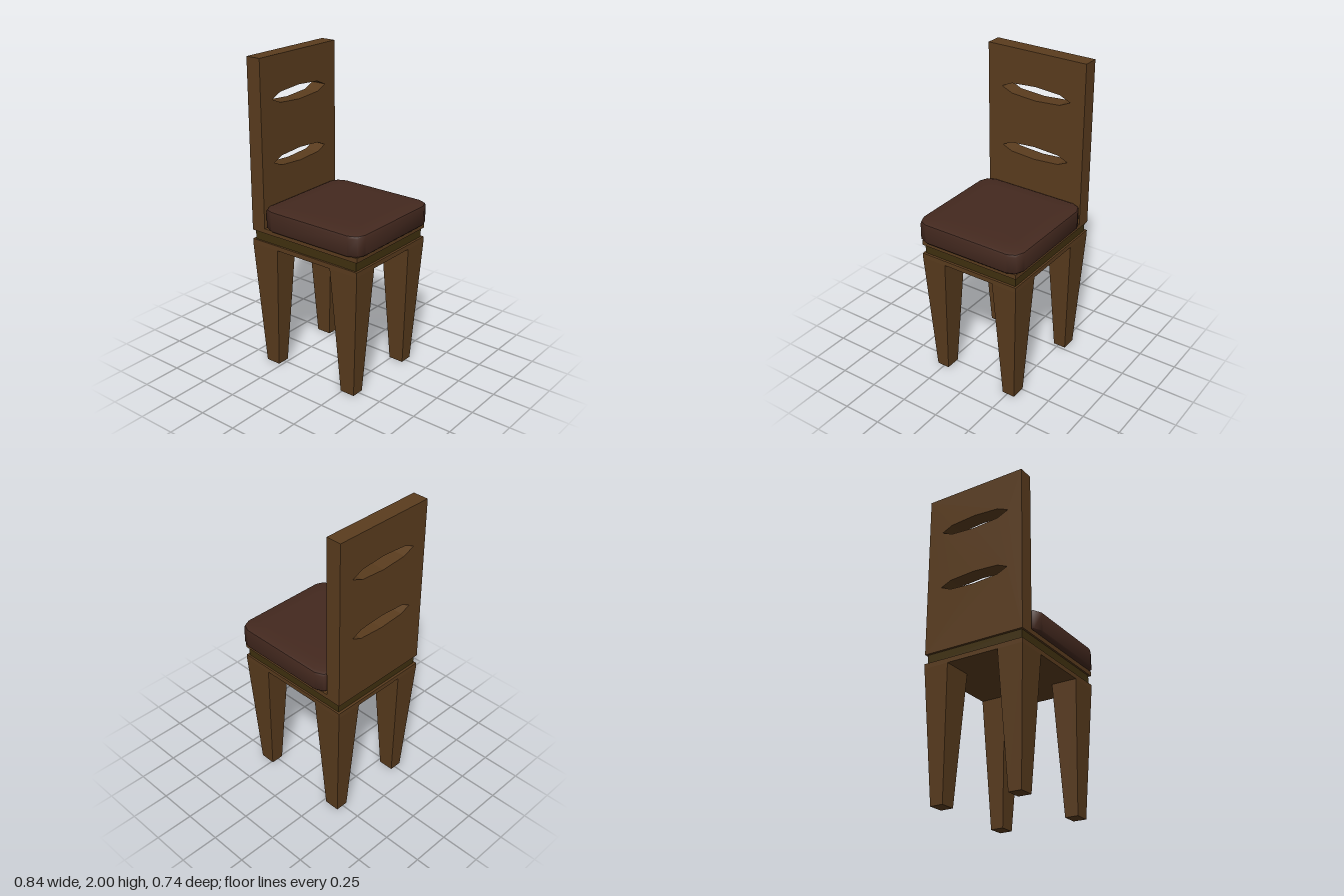
import * as THREE from 'three';
import { toCreasedNormals } from 'three/addons/utils/BufferGeometryUtils.js';

const wood = new THREE.MeshStandardMaterial({ color: 0x5a3c1e, flatShading: true });
const darkWood = new THREE.MeshStandardMaterial({ color: 0x40300f, flatShading: true });
const leather = new THREE.MeshStandardMaterial({ color: 0x44291f });

function add(group, name, geometry, material) {
  const mesh = new THREE.Mesh(geometry, material);
  mesh.name = name;
  group.add(mesh);
  return mesh;
}

// Box given by its x and y limits and half depth
function slab(x0, x1, y0, y1, halfZ) {
  return new THREE.BoxGeometry(x1 - x0, y1 - y0, halfZ * 2)
    .translate((x0 + x1) / 2, (y0 + y1) / 2, 0);
}

// Square leg that narrows towards the floor
function legGeometry() {
  const height = 0.83;
  const g = new THREE.BoxGeometry(0.2, height, 0.168).translate(0, height / 2, 0);
  const p = g.attributes.position;
  for (let i = 0; i < p.count; i++) {
    if (p.getY(i) < 0.01) p.setXYZ(i, p.getX(i) * 0.5, 0, p.getZ(i) * 0.5);
  }
  g.computeVertexNormals();
  return g;
}

// Tall board with two pointed slots, drawn in the z/y plane
function backGeometry() {
  const shape = new THREE.Shape([[-0.342, 0.92], [0.342, 0.92], [0.342, 2], [-0.342, 2]]
    .map(([x, y]) => new THREE.Vector2(x, y)));
  for (const [y, w, h] of [[1.74, 0.243, 0.045], [1.347, 0.238, 0.042]]) {
    const outline = [[-w, 0], [-0.17, h * 0.72], [0, h], [0.17, h * 0.72],
      [w, 0], [0.17, -h * 0.72], [0, -h], [-0.17, -h * 0.72]];
    shape.holes.push(new THREE.Path(outline.map(([a, b]) => new THREE.Vector2(a, y + b))));
  }
  return new THREE.ExtrudeGeometry(shape, { depth: 0.1, bevelEnabled: false })
    .rotateY(Math.PI / 2).translate(-0.42, 0, 0);
}

// Cushion: stacked rounded-square rings, [height, inset]
function cushionGeometry() {
  const hx = 0.368, hz = 0.37, cx = 0.048;
  const levels = [[0.948, 0.03], [0.953, 0.01], [0.965, 0], [1.07, 0],
    [1.084, 0.004], [1.091, 0.02], [1.094, 0.1]];
  const corner = [[0, 0.075], [0.022, 0.025], [0.075, 0.002]];
  const outline = [];
  for (const [sx, sz] of [[1, -1], [-1, -1], [-1, 1], [1, 1]]) {
    const pts = corner.map(([a, b]) => [sx * (hx - a), sz * (hz - b)]);
    if (sx * sz > 0) pts.reverse();
    outline.push(...pts);
  }
  const n = outline.length, pos = [], index = [];
  for (const [y, inset] of levels) {
    for (const [x, z] of outline) pos.push(cx + x * (1 - inset / hx), y, z * (1 - inset / hz));
  }
  for (let i = 0; i < levels.length - 1; i++) {
    for (let j = 0; j < n; j++) {
      const k = (j + 1) % n, a = i * n, b = a + n;
      index.push(a + j, a + k, b + k, a + j, b + k, b + j);
    }
  }
  // Bottom and top caps
  const bottom = pos.length / 3, top = bottom + 1, last = (levels.length - 1) * n;
  pos.push(cx, 0.948, 0, cx, 1.095, 0);
  for (let j = 0; j < n; j++) {
    const k = (j + 1) % n;
    index.push(bottom, k, j, top, last + j, last + k);
  }
  const g = new THREE.BufferGeometry();
  g.setAttribute('position', new THREE.Float32BufferAttribute(pos, 3));
  g.setIndex(index);
  return toCreasedNormals(g, 0.85);
}

export function createModel() {
  const chair = new THREE.Group();
  chair.name = 'chair';

  // Four legs under the frame
  const leg = legGeometry();
  for (const [x, side] of [[-0.32, 'back'], [0.29, 'front']]) {
    for (const s of [-1, 1]) {
      add(chair, side + (s < 0 ? 'LeftLeg' : 'RightLeg'), leg, wood).position.set(x, 0, s * 0.258);
    }
  }

  // Seat frame with a recessed dark band
  add(chair, 'lowerFrame', slab(-0.42, 0.39, 0.83, 0.86, 0.342), wood);
  add(chair, 'recessedBand', slab(-0.405, 0.375, 0.86, 0.92, 0.33), darkWood);
  add(chair, 'seatBoard', slab(-0.32, 0.39, 0.92, 0.95, 0.342), wood);

  add(chair, 'backrest', backGeometry(), wood);
  add(chair, 'cushion', cushionGeometry(), leather);
  return chair;
}
